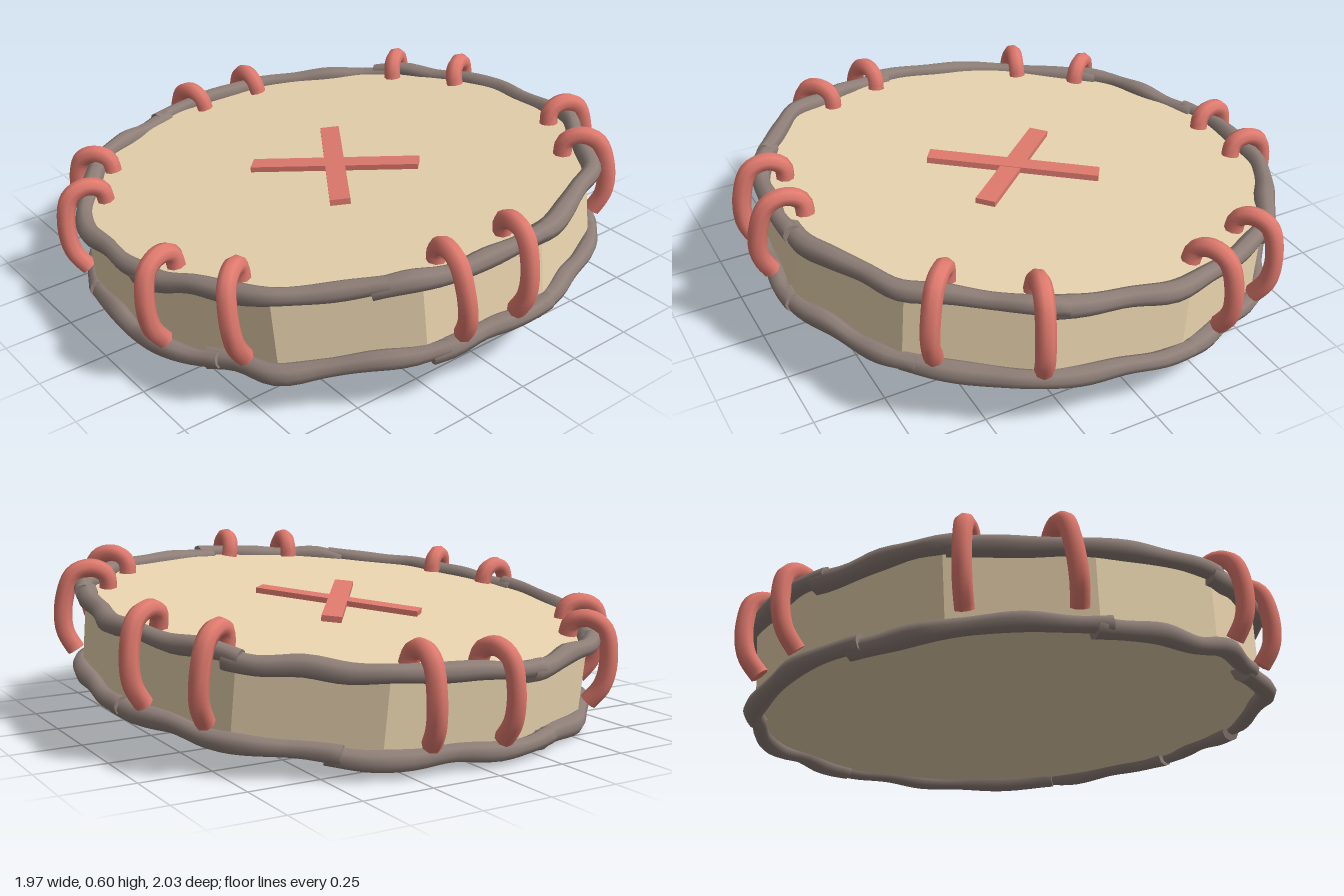
import * as THREE from 'three';
import { toCreasedNormals } from 'three/addons/utils/BufferGeometryUtils.js';

const HEIGHT = 0.27, RADIUS = 0.92, SIDES = 12, TURN = 9.5;
const rad = THREE.MathUtils.degToRad;
const material = (color, flatShading = false) =>
  new THREE.MeshStandardMaterial({ color, flatShading });

// Small seeded generator, returns -1..1
let seed = 11;
const jitter = () => {
  seed = (seed * 16807) % 2147483647;
  return (seed / 2147483647) * 2 - 1;
};

// Point on the drum: angle in degrees from the front (+z) towards +x
const polar = (deg, r, y) =>
  new THREE.Vector3(Math.sin(rad(deg)) * r, y, Math.cos(rad(deg)) * r);

// Capped tube along a smooth curve whose radius follows widthAt(t)
function rod(points, radius, segments, sides, widthAt) {
  const curve = new THREE.CatmullRomCurve3(points);
  const geo = new THREE.TubeGeometry(curve, segments, radius, sides);
  const pos = geo.attributes.position;
  const v = new THREE.Vector3(), c = new THREE.Vector3();
  for (let i = 0; i <= segments; i++) {
    const end = i === 0 || i === segments;
    const t = THREE.MathUtils.clamp(i, 1, segments - 1) / segments;
    curve.getPointAt(t, c);
    for (let j = 0; j <= sides; j++) {
      const k = i * (sides + 1) + j;
      v.fromBufferAttribute(pos, k);
      if (end) v.copy(c);
      else v.sub(c).multiplyScalar(widthAt(t)).add(c);
      pos.setXYZ(k, v.x, v.y, v.z);
    }
  }
  return toCreasedNormals(geo, 1.0);
}

// Distance from the axis to the twelve-sided wall at an angle
function wallRadius(deg) {
  const step = 360 / SIDES;
  const a = ((((deg - TURN) % step) + step) % step) - step / 2;
  return (RADIUS * Math.cos(rad(step / 2))) / Math.cos(rad(a));
}

// Ring of overlapping crooked twigs; starts lists where each twig begins
function twigRing(name, starts, y, mat) {
  const ring = new THREE.Group();
  ring.name = name;
  starts.forEach((start, i) => {
    const next = i + 1 < starts.length ? starts[i + 1] : starts[0] + 360;
    const from = start - 4, to = next + 4;
    const count = Math.max(4, Math.round((to - from) / 9));
    const points = [];
    for (let k = 0; k <= count; k++) {
      const deg = from + ((to - from) * k) / count;
      const lean = 0.015 * (k / count - 0.5);
      points.push(polar(deg, wallRadius(deg) + 0.018 + lean + jitter() * 0.007,
        y + lean + jitter() * 0.009));
    }
    const phase = jitter() * 3;
    const widthAt = t => 1.08 - 0.22 * t + 0.08 * Math.sin(t * 17 + phase);
    const twig = new THREE.Mesh(rod(points, 0.035, count * 4, 8, widthAt), mat);
    twig.name = 'twig';
    ring.add(twig);
  });
  return ring;
}

export function createModel() {
  const model = new THREE.Group();
  model.name = 'drum';
  const skinMat = material(0xe8d3ae, true);
  const woodMat = material(0x8f7f78);
  const redMat = material(0xe07a6e);

  // Everything sits on a slightly leaning axis
  const drum = new THREE.Group();
  drum.name = 'leaningDrum';
  drum.quaternion.setFromUnitVectors(new THREE.Vector3(0, 1, 0),
    new THREE.Vector3(-0.045, 1, -0.096).normalize());
  drum.position.set(0.01, 0.155, 0.012);
  model.add(drum);

  // Twelve-sided body with skin on both faces
  const body = new THREE.Mesh(
    new THREE.CylinderGeometry(RADIUS, RADIUS, HEIGHT, SIDES, 1, false, rad(TURN)), skinMat);
  body.name = 'body';
  body.position.y = HEIGHT / 2;
  drum.add(body);

  // Twig rims
  drum.add(twigRing('topRim', [8, 70, 129, 192, 222, 280, 331], HEIGHT, woodMat));
  drum.add(twigRing('bottomRim', [8, 41, 100, 150, 200, 250, 295, 342], 0, woodMat));

  // Lashings hooked over the top rim, in six pairs
  const lashings = [2.5, 46.5, 66, 106, 124.5, 165.5, 182.5, 224.5, 242.5, 284.5, 302, 345.5];
  const hook = [[-0.075, 0.26], [-0.062, 0.325], [-0.01, 0.347], [0.05, 0.322],
    [0.08, 0.23], [0.073, 0.12], [0.02, 0.035]];
  lashings.forEach(deg => {
    const twist = jitter() * 2.5;
    const r = wallRadius(deg) + 0.01;
    const points = hook.map(([out, y], i) => polar(deg + twist * (i / 3 - 0.6), r + out, y));
    const lashing = new THREE.Mesh(rod(points, 0.033, 28, 8, () => 1), redMat);
    lashing.name = 'lashing';
    drum.add(lashing);
  });

  // Painted cross on the top skin
  [[46.5, 0.62], [-48.5, 0.63]].forEach(([deg, length], i) => {
    const bar = new THREE.Mesh(new THREE.BoxGeometry(length, 0.024, 0.072), redMat);
    bar.name = 'crossBar';
    bar.position.set(0, HEIGHT + 0.008 + i * 0.002, 0.012);
    bar.rotation.y = -rad(deg) + (i ? rad(7) : 0);
    drum.add(bar);
  });

  // Rest the lowest twig on the ground
  model.updateMatrixWorld(true);
  drum.position.y -= new THREE.Box3().setFromObject(model, true).min.y;
  return model;
}
